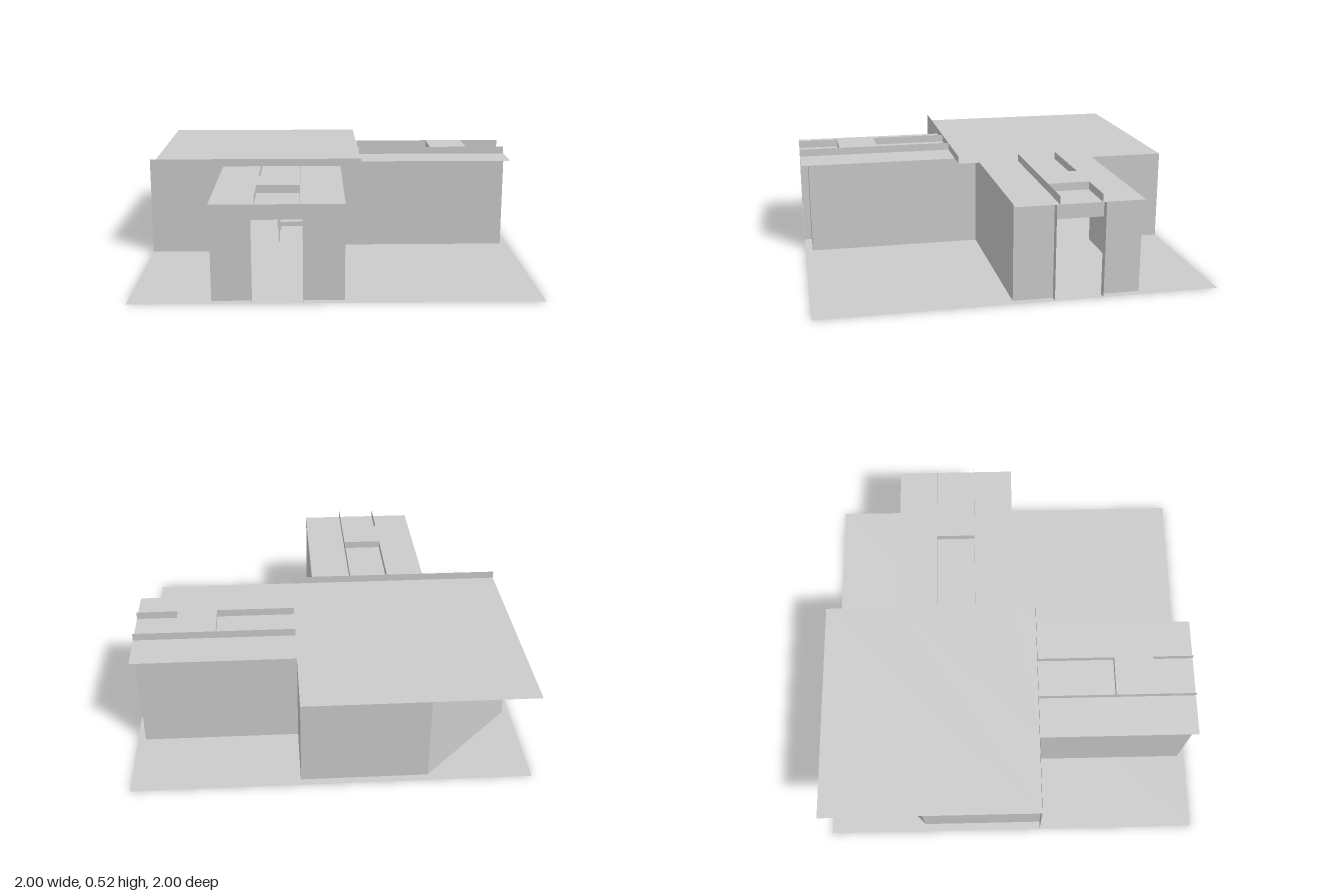
import * as THREE from 'three';

const material = new THREE.MeshStandardMaterial({ color: 0xcccccc, flatShading: true, side: THREE.DoubleSide });
const ROOF = 0.485, TOP = 0.525, DOOR = 0.4;

export function createModel() {
  const model = new THREE.Group();
  model.name = 'pavilion';

  const add = (parent, name, geometry) => {
    const mesh = new THREE.Mesh(geometry, material);
    mesh.name = name;
    parent.add(mesh);
    return mesh;
  };

  // Thin upright panel between two plan points
  const panel = (parent, name, [x0, z0], [x1, z1], y0 = 0, y1 = ROOF) => {
    const mesh = add(parent, name, new THREE.PlaneGeometry(Math.hypot(x1 - x0, z1 - z0), y1 - y0));
    mesh.position.set((x0 + x1) / 2, (y0 + y1) / 2, (z0 + z1) / 2);
    mesh.rotation.y = -Math.atan2(z1 - z0, x1 - x0);
  };

  // Box given by two opposite corners
  const block = (parent, name, a, b) => {
    const size = a.map((v, i) => Math.abs(b[i] - v));
    add(parent, name, new THREE.BoxGeometry(...size))
      .position.set(...a.map((v, i) => (v + b[i]) / 2));
  };

  // Flat sheet from a plan outline
  const sheet = (name, outline, y) => {
    const shape = new THREE.Shape(outline.map(([x, z]) => new THREE.Vector2(x, -z)));
    const mesh = add(model, name, new THREE.ShapeGeometry(shape));
    mesh.rotation.x = -Math.PI / 2;
    mesh.position.y = y;
  };

  sheet('ground', [[-1, -1], [1, -1], [1, 1], [-1, 1]], 0);
  sheet('roof', [
    [-1, -1], [0.157, -1], [0.157, -0.6], [1, -0.6], [1, 0.04], [0.157, 0.04],
    [0.157, 0.157], [0.04, 0.157], [0.04, 1], [-0.6, 1], [-0.6, 0.157], [-1, 0.157],
  ], ROOF);

  // The plan is symmetric about its diagonal: each wing swaps x and z of the other
  for (const swapped of [false, true]) {
    const wing = new THREE.Group();
    wing.name = swapped ? 'sideWing' : 'frontWing';
    model.add(wing);
    const p = (x, z) => (swapped ? [z, x] : [x, z]);
    const q = (x, y, z) => (swapped ? [z, y, x] : [x, y, z]);

    // Hall walls, with the end wall reaching the roof edge
    panel(wing, 'hallEndWall', p(-1, 0.157), p(-0.6, 0.157));
    panel(wing, 'hallOuterWall', p(-0.96, 0.157), p(-0.96, -0.48));

    // Wing walls and entrance
    panel(wing, 'wingOuterWall', p(-0.6, 0.157), p(-0.6, 0.96));
    panel(wing, 'wingInnerWall', p(0.04, 0.04), p(0.04, 0.96));
    panel(wing, 'entranceWall', p(-0.6, 0.96), p(-0.405, 0.96));
    panel(wing, 'entranceWall', p(-0.16, 0.96), p(0.04, 0.96));
    panel(wing, 'lintel', p(-0.405, 0.96), p(-0.16, 0.96), DOOR, ROOF);
    for (const x of [-0.405, -0.16]) panel(wing, 'entranceFin', p(x, 0.96), p(x, 1));

    // Roof ribs with the skylight between them
    for (const x of [-0.385, -0.175]) panel(wing, 'roofRib', p(x, 0.157), p(x, 1), ROOF, TOP);
    block(wing, 'skylight', q(-0.385, ROOF, 0.57), q(-0.175, TOP, 0.78));
  }

  panel(model, 'chamferedWall', [-0.48, -0.96], [-0.96, -0.48]);
  panel(model, 'parapet', [-1, 0.157], [0.157, 0.157], ROOF, TOP);

  // Bench in the middle of the hall
  const bench = new THREE.Group();
  bench.name = 'bench';
  model.add(bench);
  block(bench, 'seat', [-0.3, 0.095, -0.28], [-0.02, 0.12, -0.02]);
  for (const x of [-0.315, -0.02]) block(bench, 'armrest', [x, 0.085, -0.29], [x + 0.015, 0.155, -0.02]);
  for (const y of [0.127, 0.145]) block(bench, 'backRail', [-0.3, y, -0.29], [-0.02, y + 0.01, -0.28]);
  for (const x of [-0.31, -0.015]) {
    for (const z of [-0.285, -0.03]) block(bench, 'leg', [x, 0, z], [x + 0.008, 0.085, z + 0.008]);
  }

  return model;
}
